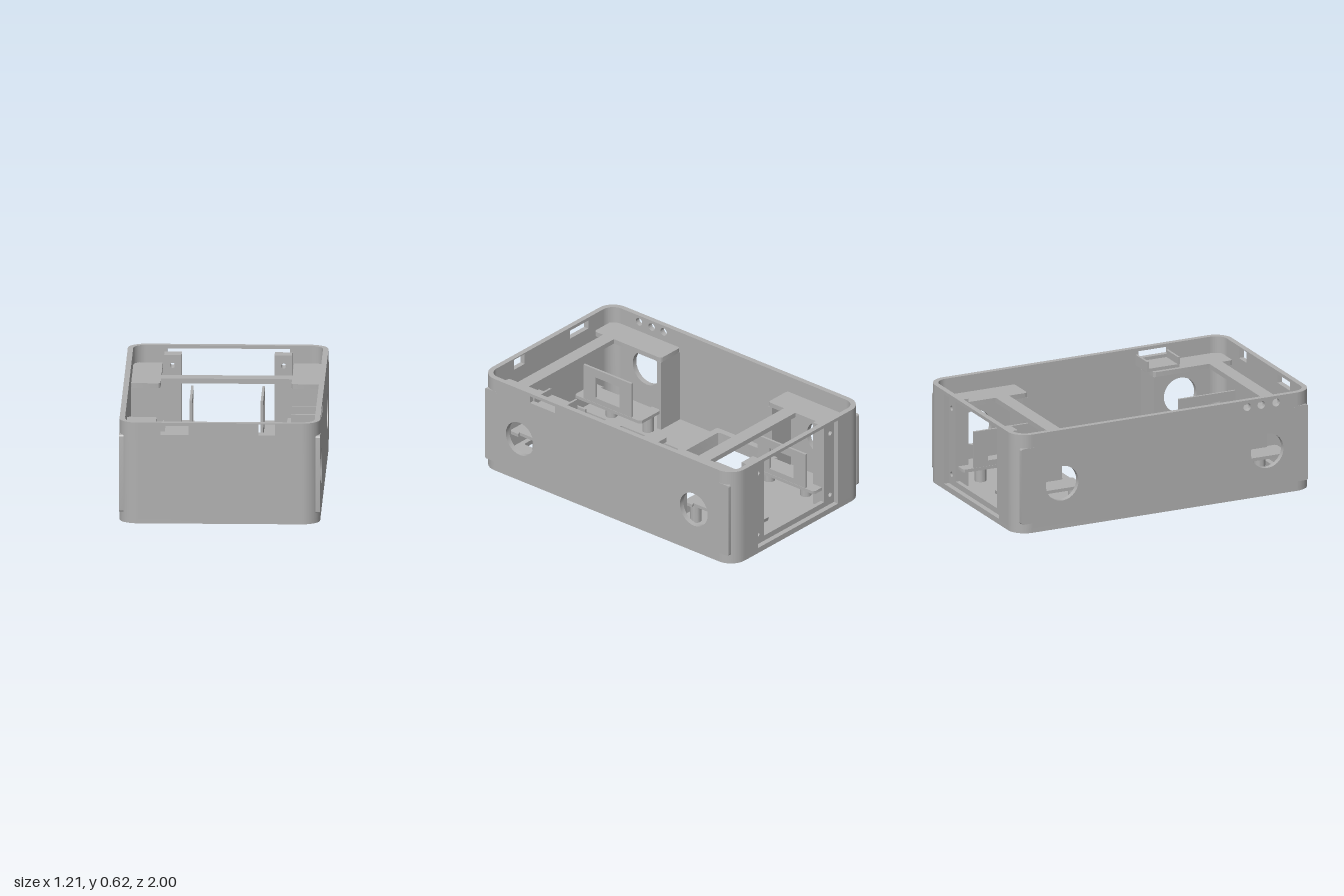
import * as THREE from 'three';
import { toCreasedNormals } from 'three/addons/utils/BufferGeometryUtils.js';

const W = 0.605, L = 1, H = 0.625, T = 0.033, R = 0.11;

// Rounded rectangle from (a0,b0) to (a1,b1), usable as shape or hole
function rect(a0, b0, a1, b1, r = 0, Type = THREE.Shape) {
  const s = new Type();
  if (r <= 0) {
    s.moveTo(a0, b0); s.lineTo(a1, b0); s.lineTo(a1, b1); s.lineTo(a0, b1); s.closePath();
    return s;
  }
  s.moveTo(a0 + r, b0);
  s.lineTo(a1 - r, b0); s.absarc(a1 - r, b0 + r, r, -Math.PI / 2, 0);
  s.lineTo(a1, b1 - r); s.absarc(a1 - r, b1 - r, r, 0, Math.PI / 2);
  s.lineTo(a0 + r, b1); s.absarc(a0 + r, b1 - r, r, Math.PI / 2, Math.PI);
  s.lineTo(a0, b0 + r); s.absarc(a0 + r, b0 + r, r, Math.PI, Math.PI * 1.5);
  return s;
}
const hole = (a0, b0, a1, b1, r) => rect(a0, b0, a1, b1, r, THREE.Path);
const disc = (a, b, r, Type = THREE.Path) => new Type().absarc(a, b, r, 0, Math.PI * 2);

function extrude(shape, depth, holes = []) {
  shape.holes.push(...holes);
  const g = new THREE.ExtrudeGeometry(shape, { depth, bevelEnabled: false, curveSegments: 14 });
  return toCreasedNormals(g, 0.6);
}
// Shape in (x, z), between heights y0 and y1
const slab = (shape, y0, y1, holes) =>
  extrude(shape, y1 - y0, holes).rotateX(Math.PI / 2).translate(0, y1, 0);
// Shape in (z, y), between x0 and x1
const sidePlate = (shape, x0, x1, holes) =>
  extrude(shape, x1 - x0, holes).rotateY(-Math.PI / 2).translate(x1, 0, 0);
// Shape in (x, y), between z0 and z1
const endPlate = (shape, z0, z1, holes) => extrude(shape, z1 - z0, holes).translate(0, 0, z0);

const box = (x0, x1, y0, y1, z0, z1) =>
  new THREE.BoxGeometry(x1 - x0, y1 - y0, z1 - z0)
    .translate((x0 + x1) / 2, (y0 + y1) / 2, (z0 + z1) / 2);

export function createModel() {
  const group = new THREE.Group();
  const grey = new THREE.MeshStandardMaterial({ color: 0xb0b0b0 });
  grey.name = 'plastic grey';
  const add = (name, geometry) => {
    const m = new THREE.Mesh(geometry, grey);
    m.name = name;
    group.add(m);
    return m;
  };

  // Floor with display window and front access opening
  add('floor', slab(rect(-W, -L, W, L, R), 0, 0.03, [
    hole(-0.52, -0.335, 0.515, 0.075, 0.02),
    hole(-0.28, 0.13, 0.28, 0.935, 0.015),
  ]));
  add('displayFrame', slab(rect(-0.56, -0.38, 0.56, 0.12, 0.02), 0.03, 0.085,
    [hole(-0.52, -0.335, 0.515, 0.075, 0.02)]));
  add('floorCrossbar', box(-0.3, 0.3, 0.03, 0.06, 0.3, 0.415));
  add('floorCrossbar', box(-0.28, 0.28, 0, 0.03, 0.64, 0.76));

  // Side walls with round ports, switch slot (left) and three small holes (right)
  const ports = () => [disc(0.69, 0.285, 0.11), disc(-0.69, 0.285, 0.11)];
  const sideShape = () => rect(-L + R, 0.03, L - R, H);
  add('leftWall', sidePlate(sideShape(), W - T, W, [...ports(), hole(0.41, 0.56, 0.61, 0.605)]));
  add('rightWall', sidePlate(sideShape(), -W, -W + T,
    [...ports(), ...[0.555, 0.65, 0.75].map(z => disc(z, 0.582, 0.025))]));

  // Front wall with two latch slots, back wall with large opening
  const endShape = () => rect(-W + R, 0.03, W - R, H);
  add('frontWall', endPlate(endShape(), L - T, L,
    [hole(-0.355, 0.55, -0.185, 0.605), hole(0.235, 0.55, 0.335, 0.618)]));
  add('backWall', endPlate(endShape(), -L, -L + T, [hole(-0.37, 0.035, 0.37, 0.605)]));
  add('backSill', box(-0.3, 0.3, 0.03, 0.07, -L + T, -0.94));

  for (const sx of [-1, 1]) {
    // Back opening posts with screw holes
    const x0 = sx > 0 ? 0.28 : -0.385, x1 = x0 + 0.105;
    add('backPost', endPlate(rect(x0, 0.03, x1, 0.585), -L + T, -0.88,
      [0.1, 0.52].map(y => disc(sx * 0.335, y, 0.016))));

    for (const sz of [-1, 1]) {
      // Rounded wall corner
      const a = Math.atan2(sz, sx) - Math.PI / 4;
      const cx = sx * (W - R), cz = sz * (L - R);
      const ring = new THREE.Shape();
      ring.absarc(cx, cz, R, a, a + Math.PI / 2, false);
      ring.absarc(cx, cz, R - T, a + Math.PI / 2, a, true);
      add('cornerWall', slab(ring, 0.03, H));

      // Thin rail on the outside of the corner
      const rail = (lo, hi) => sz > 0 ? [lo, hi] : [-hi, -lo];
      const [r0, r1] = rail(0.87, 0.965);
      add('cornerRail', sidePlate(rect(r0, 0.06, r1, 0.54, 0.012),
        sx > 0 ? 0.58 : -W - 0.001, sx > 0 ? W + 0.001 : -0.58));

      // Speaker bay: roof, partition wall
      const [z0, z1] = rail(0.425, 0.955);
      const [xi, xo] = sx > 0 ? [0.395, 0.575] : [-0.575, -0.395];
      add('bayRoof', slab(rect(xi, z0, xo, z1, 0.02), 0.49, 0.52));
      const [p0, p1] = rail(0.425, 0.455);
      add('bayPartition', box(xi, xo, 0.03, 0.49, p0, p1));

      // Shelf with small edge notches, carried on hollow standoffs
      const p = [[0.205, 0.44], [0.22, 0.425], [0.38, 0.425], [0.395, 0.44], [0.395, 0.5],
        [0.375, 0.49], [0.375, 0.89], [0.395, 0.88], [0.395, 0.94], [0.38, 0.95],
        [0.22, 0.95], [0.205, 0.94]];
      const shelf = new THREE.Shape(p.map(([x, z]) => new THREE.Vector2(sx * x, sz * z)));
      add('speakerShelf', slab(shelf, 0.145, 0.165));
      for (const z of [0.48, 0.77])
        add('standoff', slab(disc(sx * 0.34, sz * z, 0.035, THREE.Shape), 0.03, 0.145,
          [disc(sx * 0.34, sz * z, 0.015)]));

      // Upright square frame on the shelf
      const [f0, f1] = rail(0.5, 0.88), [h0, h1] = rail(0.595, 0.785);
      add('speakerFrame', sidePlate(rect(f0, 0.16, f1, 0.395),
        sx > 0 ? 0.207 : -0.222, sx > 0 ? 0.222 : -0.207, [hole(h0, 0.2, h1, 0.34)]));
    }
  }

  // Upper cross braces between the bays
  add('backBrace', box(-0.4, 0.4, 0.49, 0.52, -0.64, -0.55));
  add('frontBrace', box(-0.4, 0.4, 0.49, 0.52, 0.798, 0.885));

  // Switch cradle behind the left slot
  add('switchCradleBase', box(0.42, 0.575, 0.52, 0.54, 0.39, 0.61));
  for (const z of [0.39, 0.598]) add('switchCradleRib', box(0.42, 0.575, 0.54, 0.585, z, z + 0.014));

  return group;
}
